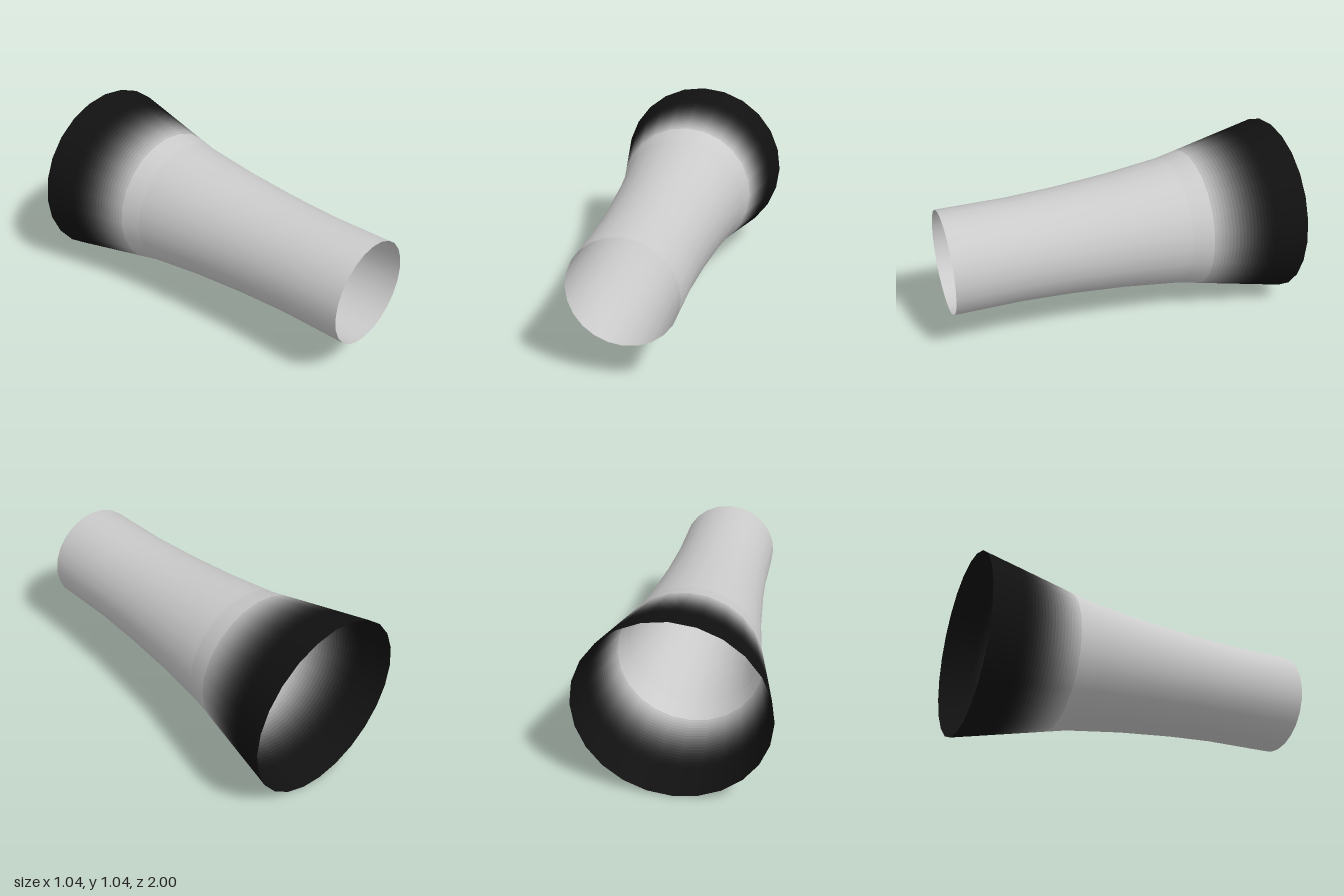
import * as THREE from 'three';

const SIDES = 24;
const AXIS_Y = 0.52;

// Open thin shell turned around the z axis; profile is [z, radius] from back to front
function shell(name, profile, color) {
  const geometry = new THREE.LatheGeometry(profile.map(([z, r]) => new THREE.Vector2(r, z)), SIDES);
  geometry.rotateX(Math.PI / 2);
  const material = new THREE.MeshStandardMaterial({ color, side: THREE.DoubleSide });
  const mesh = new THREE.Mesh(geometry, material);
  mesh.name = name;
  return mesh;
}

export function createModel() {
  const group = new THREE.Group();
  group.name = 'flaredTube';

  // Neck: straight at the front, widening gently toward the back
  const kink = -0.35, kinkRadius = 0.378, rimRadius = 0.52;
  group.add(shell('neck', [
    [kink, kinkRadius], [-0.02, 0.338], [0.3, 0.312], [0.6, 0.298], [1, 0.298],
  ], 0xcccccc));

  // Flare: straight cone, fading from grey to near black in narrow bands
  const flare = new THREE.Group();
  flare.name = 'flare';
  const radiusAt = (z) => THREE.MathUtils.mapLinear(z, kink, -1, kinkRadius, rimRadius);
  const fadeEnd = -0.83, bands = 24;
  for (let i = 0; i < bands; i++) {
    const front = THREE.MathUtils.lerp(kink, fadeEnd, i / bands);
    const back = THREE.MathUtils.lerp(kink, fadeEnd, (i + 1) / bands);
    const t = THREE.MathUtils.smoothstep((i + 0.5) / bands, 0.08, 1);
    const grey = THREE.MathUtils.lerp(0.8, 0.066, t);
    const color = new THREE.Color().setRGB(grey, grey, grey, THREE.SRGBColorSpace);
    flare.add(shell('fadeBand', [[back, radiusAt(back)], [front, radiusAt(front)]], color));
  }
  flare.add(shell('darkRim', [[-1, rimRadius], [fadeEnd, radiusAt(fadeEnd)]], 0x111111));
  group.add(flare);

  group.children.forEach((part) => { part.position.y = AXIS_Y; });
  return group;
}
